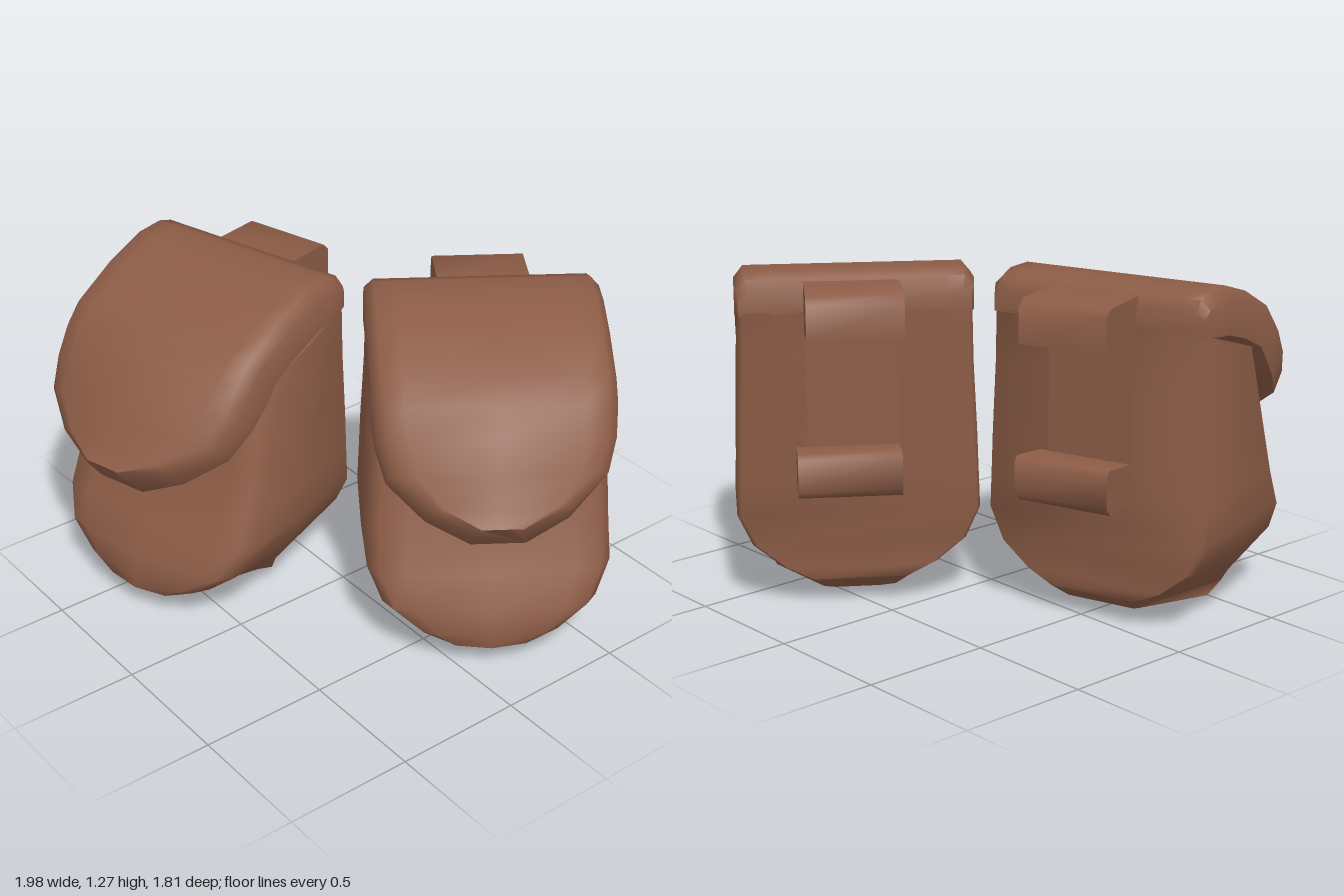
import * as THREE from 'three';
import { toCreasedNormals } from 'three/addons/utils/BufferGeometryUtils.js';

const leather = new THREE.MeshStandardMaterial({ color: 0x8c5c46 });

// Skin a list of equal-length rings of [x, y, z] and close both ends.
function loft(rings) {
  const n = rings[0].length;
  const positions = rings.flat(2);
  const index = [];
  for (let r = 0; r < rings.length - 1; r++) {
    for (let i = 0; i < n; i++) {
      const a = r * n + i, b = r * n + (i + 1) % n;
      index.push(a, b, b + n, a, b + n, a + n);
    }
  }
  const last = (rings.length - 1) * n;
  for (let i = 1; i < n - 1; i++) {
    index.push(0, i + 1, i);
    index.push(last, last + i, last + i + 1);
  }
  const geometry = new THREE.BufferGeometry();
  geometry.setAttribute('position', new THREE.Float32BufferAttribute(positions, 3));
  geometry.setIndex(index);
  return toCreasedNormals(geometry, 1);
}

// Complete a half ring (x > 0) around its middle point.
function mirrorRing(half, middle) {
  return [...half, middle, ...half.map(([x, y, z]) => [-x, y, z]).reverse()];
}

function part(name, geometry) {
  const mesh = new THREE.Mesh(geometry, leather);
  mesh.name = name;
  return mesh;
}

// Bag: horizontal sections of [height, half width, front, back, front bulge, side bulge, forward tilt].
function bagGeometry() {
  const sections = [
    [0, 0.1, 0.42, 0.18, 0, 0.02, 0],
    [0.05, 0.15, 0.6, 0.06, 0.03, 0.16, 0],
    [0.1, 0.19, 0.76, 0, 0.04, 0.15, 0],
    [0.15, 0.29, 0.755, 0, 0.05, 0.08, 0],
    [0.24, 0.4, 0.73, 0, 0.05, 0.02, 0],
    [0.36, 0.455, 0.67, 0, 0.04, 0.005, 0],
    [0.5, 0.45, 0.61, 0, 0.03, 0.005, 0],
    [0.65, 0.445, 0.56, 0, 0.03, 0.005, 0],
    [0.92, 0.432, 0.48, 0, 0.02, 0.01, 0],
    [1.13, 0.428, 0.45, 0, 0.01, 0.005, 0.3],
  ];
  return loft(sections.map(([y, w, f, b, bulge, side, tilt]) => {
    const half = [
      [w - 0.015, b], [w, b + 0.02], [w + side, (f + b) / 2],
      [w, f - 0.06], [w - 0.04, f], [w * 0.7, f + bulge * 0.4],
    ];
    const place = ([x, z]) => [x, y - tilt * z, z];
    return mirrorRing(half.map(place), place([0, f + bulge])).reverse();
  }));
}

// Flap: sections of [outer z, outer y, inner z, inner y, half width, crown] from back to tip.
function flapGeometry() {
  const sections = [
    [0, 1.2, 0, 1.12, 0.425, 0],
    [0.02, 1.25, 0.03, 1.12, 0.435, 0],
    [0.08, 1.27, 0.08, 1.11, 0.44, 0],
    [0.2, 1.27, 0.17, 1.1, 0.44, 0],
    [0.37, 1.22, 0.31, 1.06, 0.44, 0.01],
    [0.56, 1.13, 0.45, 1.0, 0.44, 0.03],
    [0.63, 1.06, 0.5, 0.94, 0.44, 0.05],
    [0.7, 0.96, 0.58, 0.86, 0.43, 0.07],
    [0.77, 0.86, 0.68, 0.77, 0.395, 0.07],
    [0.865, 0.775, 0.78, 0.67, 0.26, 0.025],
    [0.93, 0.73, 0.83, 0.6, 0.1, 0],
  ];
  return loft(sections.map(([oz, oy, iz, iy, w, crown]) => {
    const mz = oz + (iz - oz) * 0.25, my = oy + (iy - oy) * 0.25;
    const raised = (x, c) => [x, oy + c * 0.4, oz + c];
    const half = [[w, iy, iz], [w, my, mz], raised(w - 0.035, 0), raised(w * 0.75, crown * 0.4)];
    return mirrorRing(half, raised(0, crown));
  }));
}

// Belt hook: a side profile of [z, y] extruded across the back.
function hookGeometry(profile, left, right) {
  const shape = new THREE.Shape(profile.map(([z, y]) => new THREE.Vector2(-z, y)));
  const geometry = new THREE.ExtrudeGeometry(shape, { depth: right - left, bevelEnabled: false });
  geometry.rotateY(Math.PI / 2);
  geometry.translate(left, 0, 0);
  return toCreasedNormals(geometry, 0.9);
}

function createPouch(name) {
  const pouch = new THREE.Group();
  pouch.name = name;
  pouch.add(part('bag', bagGeometry()), part('flap', flapGeometry()));

  const upper = [[0.02, 1.24], [-0.19, 1.23], [-0.22, 1.2], [-0.22, 1.07], [0.02, 1.05]];
  const lower = [[0.02, 0.62], [-0.16, 0.64], [-0.18, 0.62], [-0.18, 0.5], [-0.15, 0.47], [0.02, 0.48]];
  pouch.add(part('upperBeltHook', hookGeometry(upper, -0.16, 0.19)));
  pouch.add(part('lowerBeltHook', hookGeometry(lower, -0.15, 0.23)));

  // Thin strap between the hooks
  const strap = part('beltStrap', new THREE.BoxGeometry(0.34, 0.5, 0.02));
  strap.position.set(0.02, 0.84, 0.005);
  pouch.add(strap);
  return pouch;
}

export function createModel() {
  const model = new THREE.Group();
  model.name = 'beltPouches';
  const right = createPouch('rightPouch');
  right.position.set(-0.565, 0, -0.005);
  right.rotation.y = THREE.MathUtils.degToRad(16.5);
  const left = createPouch('leftPouch');
  left.position.set(0.14, 0, -0.535);
  left.rotation.y = THREE.MathUtils.degToRad(55.3);
  model.add(right, left);
  return model;
}
